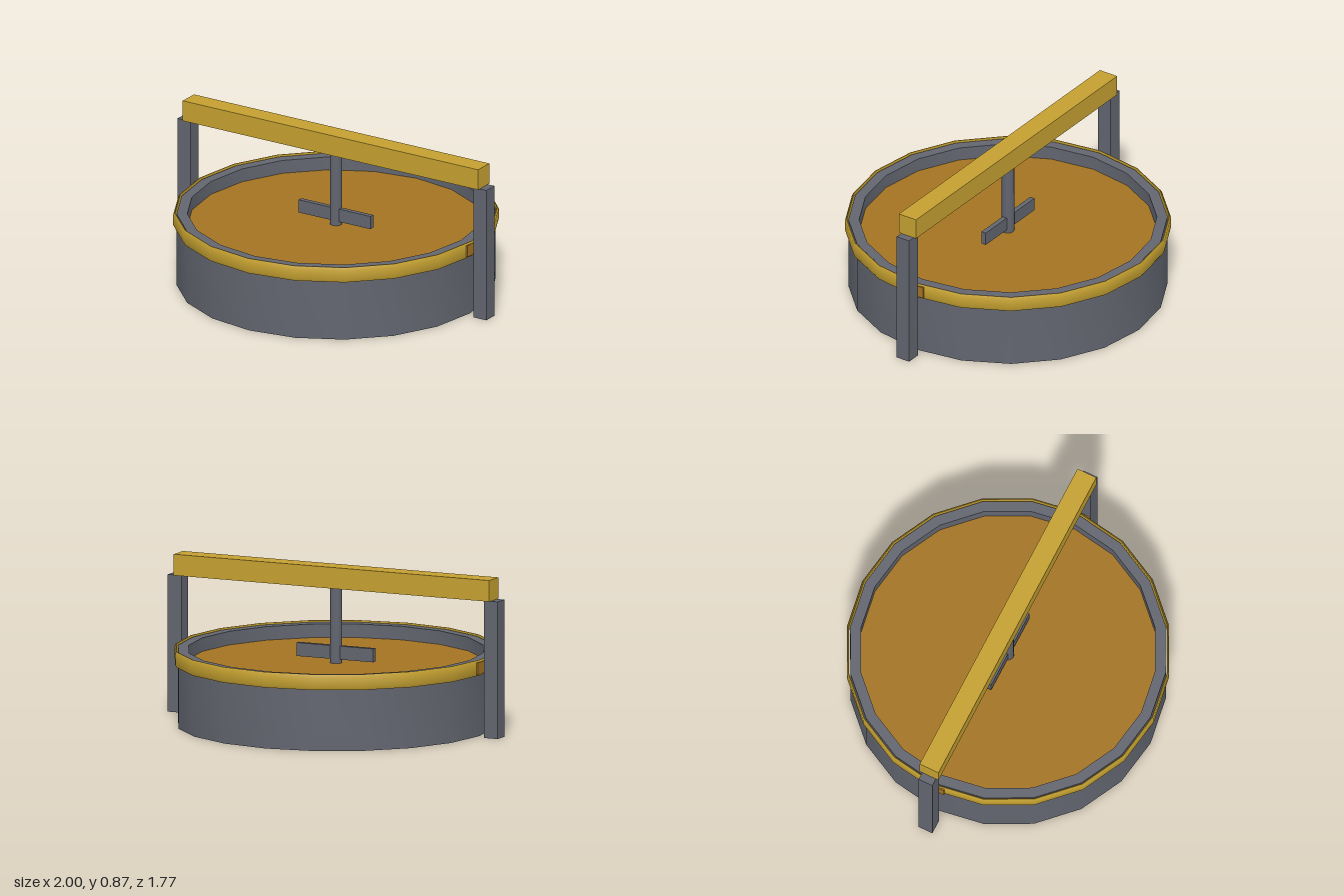
import * as THREE from 'three';
import { toCreasedNormals } from 'three/addons/utils/BufferGeometryUtils.js';

const SIDES = 20;

function material(name, color) {
  const m = new THREE.MeshStandardMaterial({ color });
  m.name = name;
  return m;
}

export function createModel() {
  const steel = material('grey steel', 0x62656f);
  const yellow = material('safety yellow', 0xc4a030);
  const amber = material('amber liquid', 0xa37322);

  const model = new THREE.Group();
  model.name = 'mixingTank';

  const add = (name, geometry, mat, x = 0, y = 0, z = 0) => {
    const mesh = new THREE.Mesh(geometry, mat);
    mesh.name = name;
    mesh.position.set(x, y, z);
    model.add(mesh);
    return mesh;
  };
  const lathe = (pairs) => toCreasedNormals(
    new THREE.LatheGeometry(pairs.map(([r, y]) => new THREE.Vector2(r, y)), SIDES), 0.6);

  // Open tank with a thick wall
  add('tank', lathe([[0, 0], [0.868, 0], [0.868, 0.415], [0.81, 0.415], [0.81, 0.33]]), steel);

  // Liquid surface, sunk below the rim
  const surface = new THREE.CircleGeometry(0.812, SIDES);
  surface.rotateX(-Math.PI / 2);
  add('liquid', surface, amber, 0, 0.34, 0);

  // Thin bevelled band standing just off the tank wall
  add('rimBand', lathe([
    [0.876, 0.338], [0.88, 0.338], [0.887, 0.352], [0.887, 0.41],
    [0.88, 0.424], [0.876, 0.424], [0.876, 0.338],
  ]), yellow);

  // Posts and the small pads on the band behind them
  for (const [side, s] of [['left', 1], ['right', -1]]) {
    add(side + 'Post', new THREE.BoxGeometry(0.083, 0.757, 0.083), steel, s * 0.958, 0.3785, 0);
    add(side + 'Pad', new THREE.BoxGeometry(0.009, 0.066, 0.11), amber, s * 0.8825, 0.381, 0);
  }

  // Beam across the top
  add('beam', new THREE.BoxGeometry(1.912, 0.117, 0.114), yellow, 0, 0.8155, 0);

  // Stirrer: shaft and paddle
  add('shaft', new THREE.CylinderGeometry(0.034, 0.034, 0.44, 10), steel, 0, 0.55, 0);
  add('paddle', new THREE.BoxGeometry(0.465, 0.074, 0.028), steel, 0, 0.398, 0);

  return model;
}
